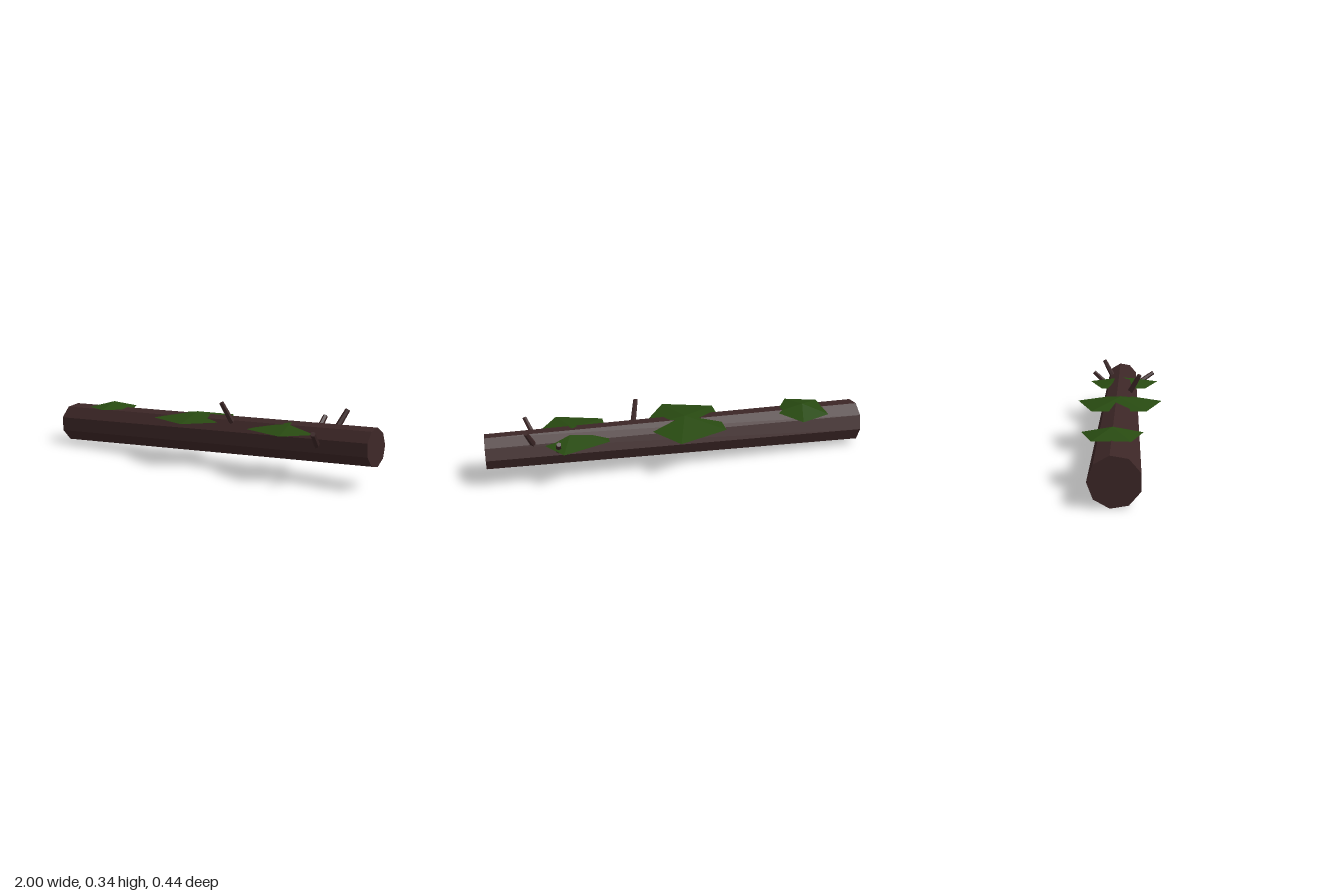
import * as THREE from 'three';

const bark = new THREE.MeshStandardMaterial({ color: 0x3d2727, flatShading: true });
bark.name = 'bark brown';
const moss = new THREE.MeshStandardMaterial({ color: 0x284a11, flatShading: true });
moss.name = 'moss green';

// Tapered round piece running between two points; spin turns its facets
function limb(name, from, to, r0, r1, sides, spin = 0) {
  const a = new THREE.Vector3(...from), b = new THREE.Vector3(...to);
  const dir = b.clone().sub(a);
  const geo = new THREE.CylinderGeometry(r1, r0, dir.length(), sides);
  geo.rotateY(spin);
  const mesh = new THREE.Mesh(geo, bark);
  mesh.name = name;
  mesh.position.copy(a).add(b).multiplyScalar(0.5);
  mesh.quaternion.setFromUnitVectors(new THREE.Vector3(0, 1, 0), dir.normalize());
  return mesh;
}

export function createModel() {
  const log = new THREE.Group();
  log.name = 'fallenLog';

  // Nine-sided trunk, thicker at its low end
  log.add(limb('trunk', [-0.995, 0.116, 0], [0.995, 0.193, 0], 0.114, 0.09, 9, Math.PI / 9));

  // Broken twigs: base inside the trunk, then tip
  const twigs = [
    [[0.247, 0.19, 0.024], [0.208, 0.341, 0.105]],
    [[0.75, 0.215, -0.045], [0.79, 0.334, -0.112]],
    [[0.64, 0.185, -0.065], [0.64, 0.284, -0.169]],
    [[0.732, 0.17, 0.055], [0.784, 0.257, 0.193]],
  ];
  twigs.forEach(([base, tip], i) => log.add(limb(`twig${i + 1}`, base, tip, 0.016, 0.012, 6)));

  // Low five-sided moss mounds: x, z, radius
  const base = 0.231, height = 0.035;
  [[-0.68, -0.02, 0.146], [-0.031, 0, 0.233], [0.556, 0.013, 0.212]].forEach(([x, z, r], i) => {
    const geo = new THREE.ConeGeometry(r, height, 5);
    geo.rotateY(Math.PI / 2);
    const patch = new THREE.Mesh(geo, moss);
    patch.name = `mossPatch${i + 1}`;
    patch.position.set(x, base + height / 2, z);
    log.add(patch);
  });

  return log;
}
